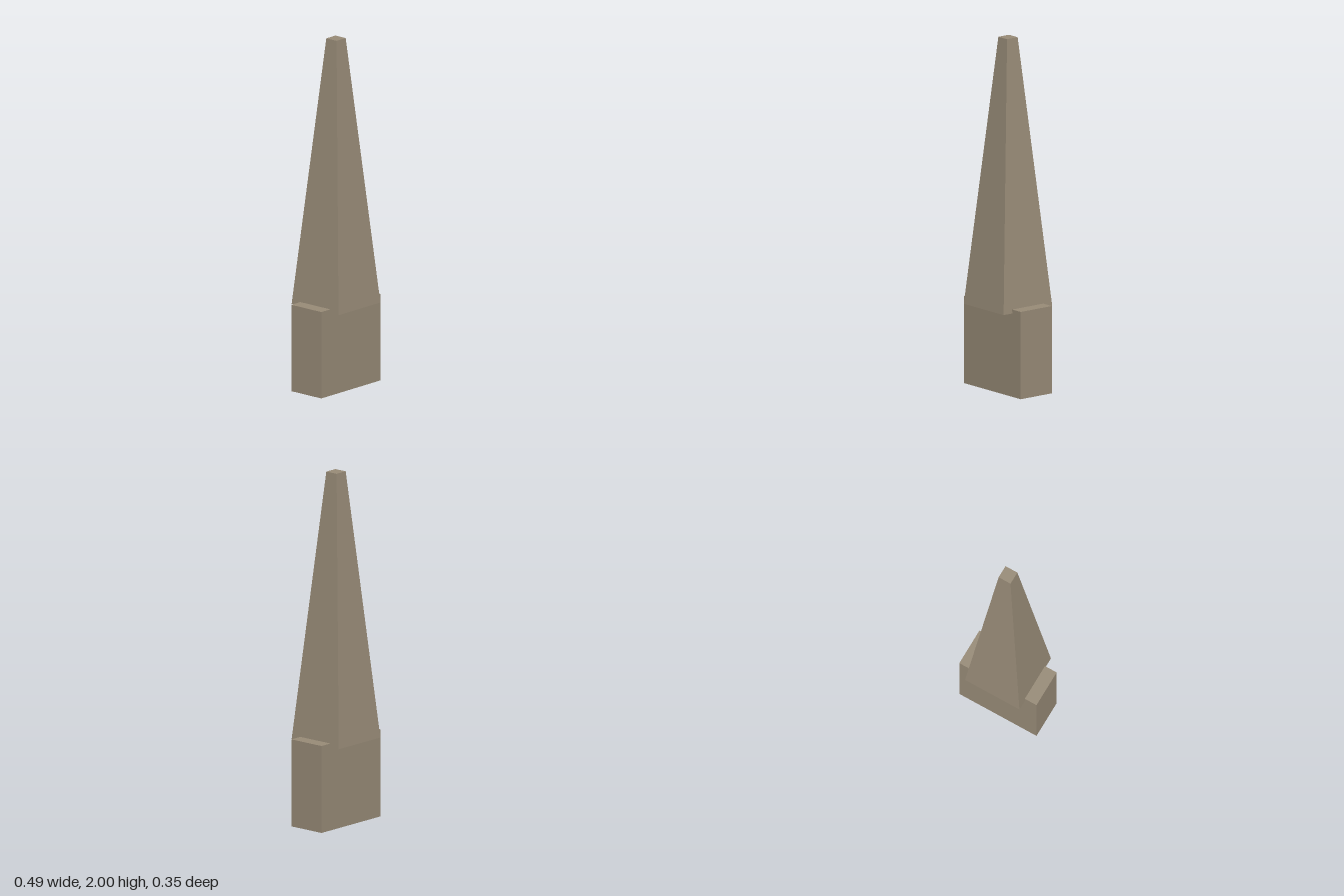
import * as THREE from 'three';

export function createModel() {
  const model = new THREE.Group();
  const stone = new THREE.MeshStandardMaterial({ color: 0x998c78, flatShading: true });

  // Rectangular block standing on the ground
  const baseHeight = 0.497;
  const base = new THREE.Mesh(new THREE.BoxGeometry(0.494, baseHeight, 0.223), stone);
  base.name = 'baseBlock';
  base.position.y = baseHeight / 2;
  model.add(base);

  // Square tapering spire, sunk slightly into the block
  const bottom = 0.475, top = 2;
  const height = top - bottom;
  const spireGeometry = new THREE.CylinderGeometry(
    0.038 * Math.SQRT2, 0.174 * Math.SQRT2, height, 4, 1, false, Math.PI / 4);
  const spire = new THREE.Mesh(spireGeometry, stone);
  spire.name = 'taperedSpire';
  spire.position.y = bottom + height / 2;
  model.add(spire);

  return model;
}
